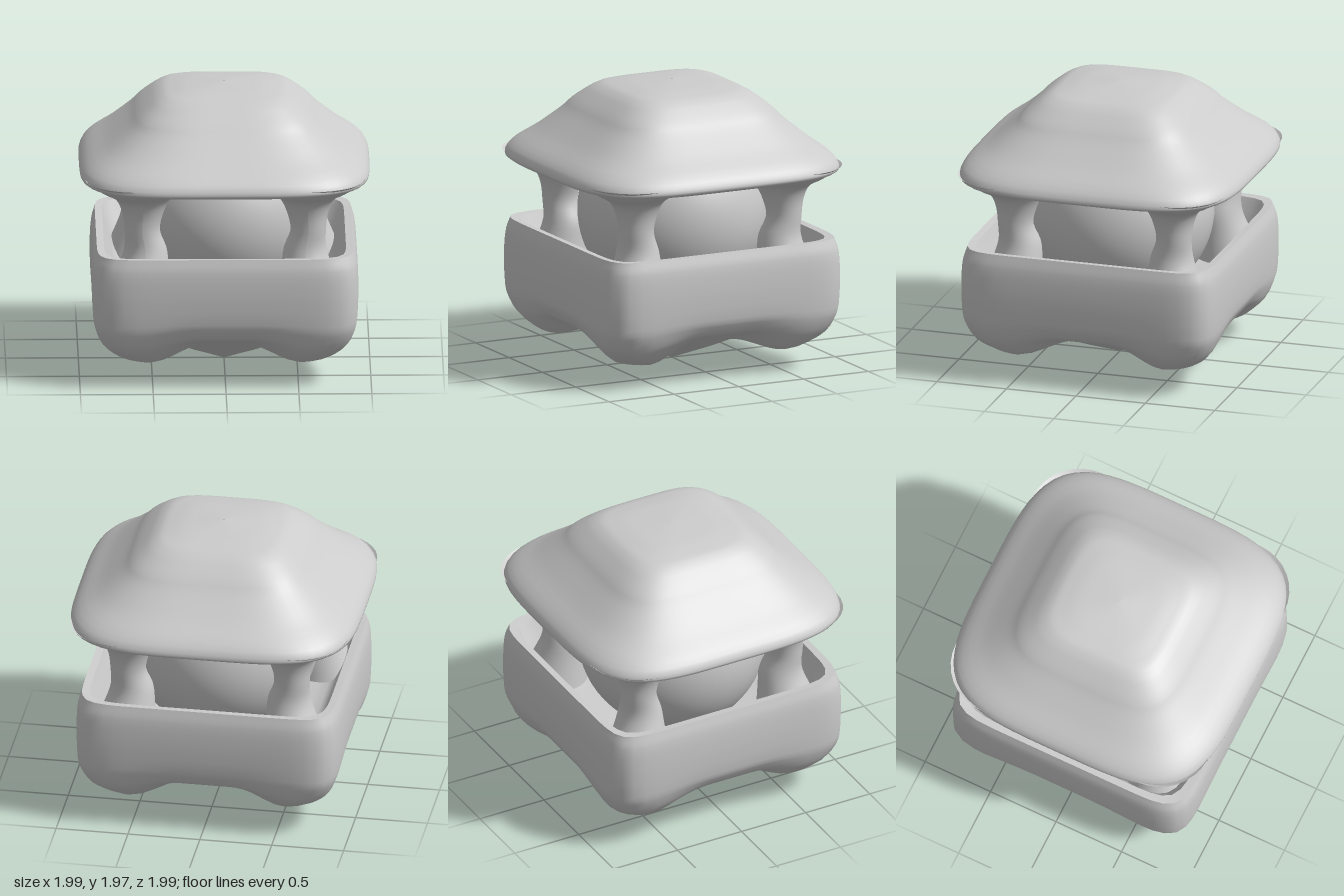
import * as THREE from 'three';

const material = new THREE.MeshStandardMaterial({ color: 0xcccccc, side: THREE.DoubleSide });
const SEG = 96;

// Smooth a profile of [half width, height, squareness] points
function smooth(points, count) {
  const curve = new THREE.CatmullRomCurve3(points.map(p => new THREE.Vector3(...p)), false, 'centripetal');
  return curve.getPoints(count);
}

// Loft rounded-square rings; the profile may differ between side centres and corners
function loft(sideProfile, cornerProfile = sideProfile, steps = 4) {
  const count = (sideProfile.length - 1) * steps;
  const side = smooth(sideProfile, count);
  const corner = smooth(cornerProfile, count);
  const pos = [], index = [];
  const p = new THREE.Vector3();
  for (let i = 0; i <= count; i++) {
    for (let j = 0; j < SEG; j++) {
      const a = (j / SEG) * Math.PI * 2;
      const c = Math.abs(Math.cos(a)), s = Math.abs(Math.sin(a));
      const w = THREE.MathUtils.smoothstep(Math.min(c, s) / Math.max(c, s), 0.2, 0.8);
      p.lerpVectors(side[i], corner[i], w);
      const r = p.x / Math.pow(Math.pow(c, p.z) + Math.pow(s, p.z), 1 / p.z);
      pos.push(r * Math.cos(a), p.y, r * Math.sin(a));
      if (i < count) {
        const n = (j + 1) % SEG, k = i * SEG;
        index.push(k + j, k + SEG + j, k + n, k + n, k + SEG + j, k + SEG + n);
      }
    }
  }
  const geo = new THREE.BufferGeometry();
  geo.setAttribute('position', new THREE.Float32BufferAttribute(pos, 3));
  geo.setIndex(index);
  geo.computeVertexNormals();
  return geo;
}

function add(group, name, geometry) {
  const mesh = new THREE.Mesh(geometry, material);
  mesh.name = name;
  group.add(mesh);
  return mesh;
}

export function createModel() {
  const group = new THREE.Group();
  group.name = 'lantern';

  // Box-like base: pointed in the middle below, with a rounded foot at each corner
  add(group, 'baseShell', loft(
    [[0.002, 0.01, 2], [0.22, 0.11, 2.2], [0.43, 0.21, 3], [0.62, 0.28, 4], [0.77, 0.32, 6],
      [0.875, 0.4, 9], [0.91, 0.53, 10], [0.915, 0.68, 10], [0.905, 0.84, 10], [0.88, 0.93, 10]],
    [[0.002, 0.01, 2], [0.26, 0.11, 2.2], [0.46, 0.2, 3], [0.67, 0.145, 4.5], [0.8, 0.21, 6.5],
      [0.89, 0.36, 9], [0.912, 0.52, 10], [0.915, 0.68, 10], [0.905, 0.84, 10], [0.88, 0.93, 10]]));

  // Thin rim and hollow inside
  add(group, 'rim', loft([[0.88, 0.93, 10], [0.83, 0.925, 10]], undefined, 1));
  add(group, 'basin', loft(
    [[0.83, 0.925, 10], [0.79, 0.8, 9], [0.74, 0.66, 8], [0.6, 0.56, 6], [0.002, 0.5, 4]]));

  // Ball held in the middle
  add(group, 'ball', new THREE.SphereGeometry(0.65, 64, 40)).position.y = 1.06;

  // Four waisted corner pillars: [centre offset, height, radius]
  const pillar = [[0.6, 0.58, 0.24], [0.565, 0.78, 0.18], [0.548, 0.93, 0.147], [0.57, 1.07, 0.122],
    [0.565, 1.2, 0.145], [0.565, 1.29, 0.19], [0.585, 1.35, 0.27], [0.6, 1.43, 0.36]];
  for (const sx of [-1, 1]) for (const sz of [-1, 1]) {
    const rings = smooth(pillar, 24);
    const geo = new THREE.CylinderGeometry(1, 1, 1, 32, 24, true);
    const pos = geo.attributes.position;
    for (let i = 0; i < pos.count; i++) {
      const ring = rings[Math.round((pos.getY(i) + 0.5) * 24)];
      pos.setXYZ(i, sx * ring.x + pos.getX(i) * ring.z, ring.y, sz * ring.x + pos.getZ(i) * ring.z);
    }
    geo.computeVertexNormals();
    add(group, 'pillar', geo);
  }

  // Domed square roof with a flared eave and hollow underside
  add(group, 'roof', loft(
    [[0.002, 1.62, 4], [0.4, 1.54, 4], [0.66, 1.41, 4], [0.8, 1.37, 4], [0.9, 1.37, 4],
      [0.995, 1.4, 4], [0.97, 1.47, 4], [0.81, 1.6, 4], [0.66, 1.73, 4.2], [0.57, 1.82, 4.5],
      [0.47, 1.9, 4.5], [0.34, 1.945, 4], [0.16, 1.965, 3], [0.002, 1.975, 2]]));

  return group;
}
